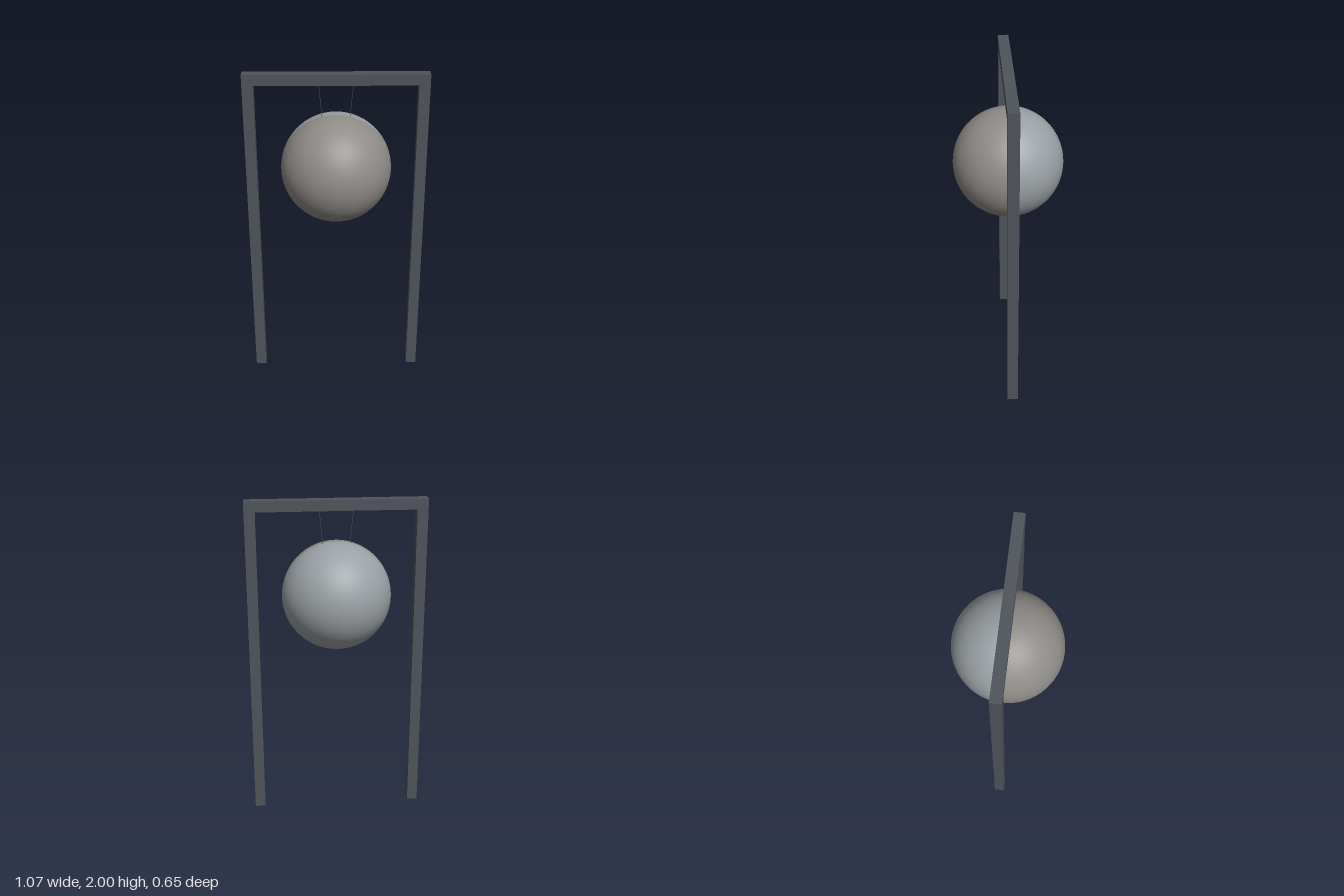
import * as THREE from 'three';

const paint = (color, side = THREE.FrontSide) => new THREE.MeshStandardMaterial({ color, side });

export function createModel() {
  const model = new THREE.Group();
  model.name = 'hangingSphere';
  const add = (name, geometry, material) => {
    const mesh = new THREE.Mesh(geometry, material);
    mesh.name = name;
    model.add(mesh);
    return mesh;
  };

  const dark = paint(0x4f545b);
  const bar = 0.064, halfWidth = 0.533, height = 2;
  const radius = 0.326, centerY = 1.425;

  // Square-section portal frame: two posts and a crossbeam in one piece
  const inner = halfWidth - bar, under = height - bar;
  const outline = new THREE.Shape([
    [-halfWidth, 0], [-inner, 0], [-inner, under], [inner, under],
    [inner, 0], [halfWidth, 0], [halfWidth, height], [-halfWidth, height],
  ].map(([x, y]) => new THREE.Vector2(x, y)));
  const frame = new THREE.ExtrudeGeometry(outline, { depth: bar, bevelEnabled: false });
  frame.translate(0, 0, -bar / 2);
  add('frame', frame, dark);

  // Two-tone sphere, split on the plane of the frame
  const halves = [['frontHemisphere', 0, 0x8f8c88], ['backHemisphere', Math.PI, 0x9aa0a4]];
  for (const [name, start, color] of halves) {
    const half = new THREE.SphereGeometry(radius, 48, 64, start, Math.PI);
    add(name, half, paint(color, THREE.DoubleSide)).position.y = centerY;
  }

  // Thin wires, spreading slightly towards the crossbeam
  for (const [name, s] of [['leftWire', 1], ['rightWire', -1]]) {
    const path = new THREE.LineCurve3(
      new THREE.Vector3(s * 0.08, 1.735, 0),
      new THREE.Vector3(s * 0.1, under + 0.005, 0));
    add(name, new THREE.TubeGeometry(path, 1, 0.0016, 8), dark);
  }

  return model;
}
